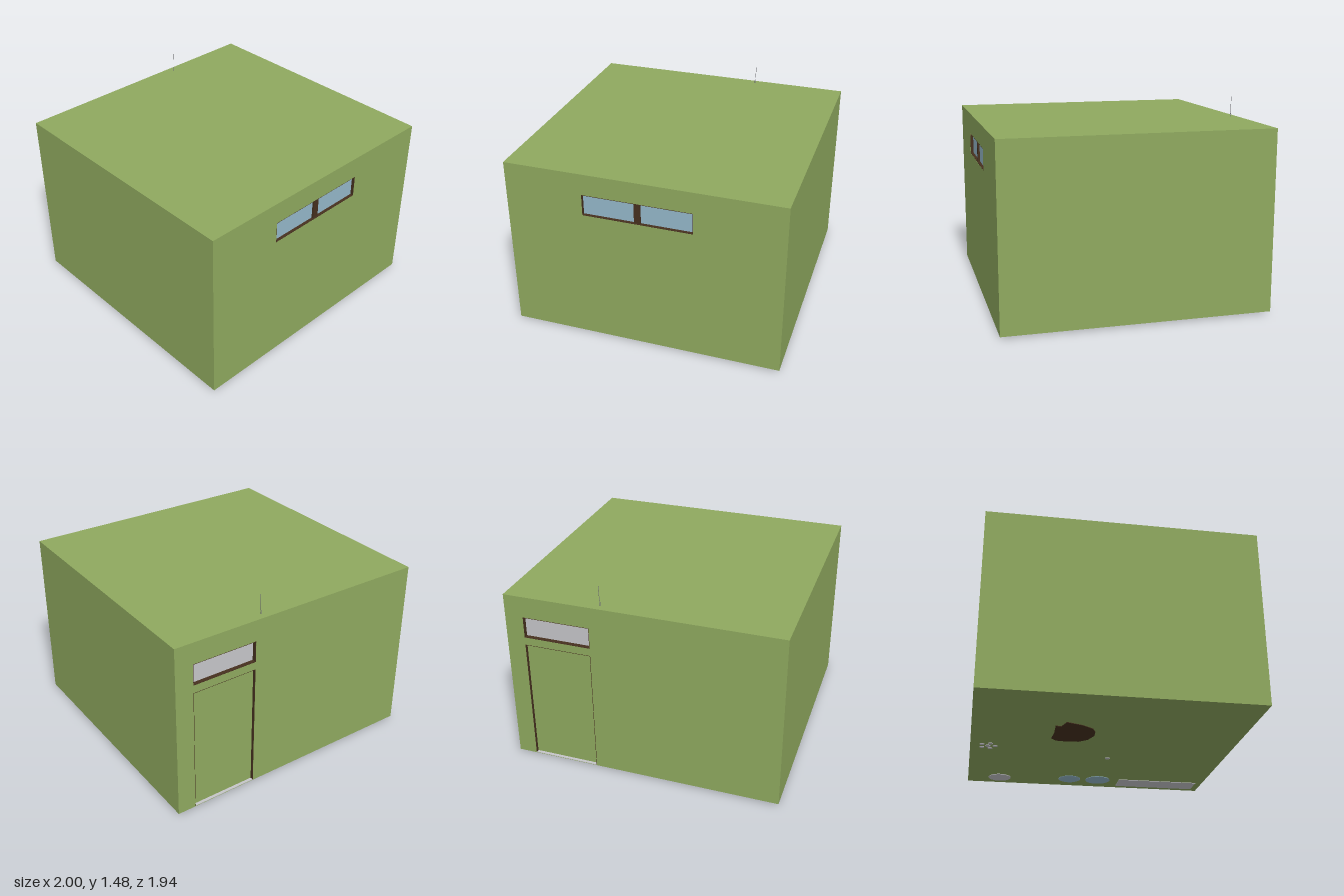
import * as THREE from 'three';

const material = (name, color) => {
  const m = new THREE.MeshStandardMaterial({ color });
  m.name = name;
  return m;
};

export function createModel() {
  const green = material('wall green', 0x8fa95f);
  const blue = material('glass blue', 0x95b8ca);
  const pale = material('pale grey', 0xc6c6c9);
  const brown = material('dark brown', 0x46301f);
  const grey = material('antenna grey', 0x77777c);

  const W = 2, D = 1.94, BASE = 0.012, TOP = 1.33, T = 0.05;
  const model = new THREE.Group();
  model.name = 'room';

  function add(name, geometry, mat, x = 0, y = 0, z = 0, parent = model) {
    const mesh = new THREE.Mesh(geometry, mat);
    mesh.name = name;
    mesh.position.set(x, y, z);
    parent.add(mesh);
    return mesh;
  }

  // Box given by its limits
  function block(name, mat, [x0, x1], [y0, y1], [z0, z1], parent = model) {
    return add(name, new THREE.BoxGeometry(x1 - x0, y1 - y0, z1 - z0), mat,
      (x0 + x1) / 2, (y0 + y1) / 2, (z0 + z1) / 2, parent);
  }

  const rectangle = (Type, [x0, x1], [y0, y1]) => new Type([
    [x0, y0], [x1, y0], [x1, y1], [x0, y1],
  ].map(([x, y]) => new THREE.Vector2(x, y)));

  // Wall slab with rectangular openings
  function wall(name, openings, z) {
    const shape = rectangle(THREE.Shape, [-W / 2, W / 2], [BASE, TOP]);
    openings.forEach(o => shape.holes.push(rectangle(THREE.Path, o.x, o.y)));
    add(name, new THREE.ExtrudeGeometry(shape, { depth: T, bevelEnabled: false }), green, 0, 0, z);
  }

  // Recessed pane with a thin brown lining; side is +1 for front, -1 for back
  function fitting(o, side) {
    const group = new THREE.Group();
    group.name = o.name;
    const face = side * (D / 2);
    const span = (a, b) => [face - side * a, face - side * b].sort((p, q) => p - q);
    const lining = span(0.001, T), t = 0.004;
    block('leftLining', brown, [o.x[1] - t, o.x[1]], o.y, lining, group);
    block('rightLining', brown, [o.x[0], o.x[0] + t], o.y, lining, group);
    block('topLining', brown, o.x, [o.y[1] - t, o.y[1]], lining, group);
    block('sill', o.sill, o.x, [o.y[0], o.y[0] + t], lining, group);
    block('panel', o.mat, o.x, o.y, span(o.depth, T), group);
    if (o.bar) block('mullion', brown, o.bar, o.y, span(0.008, T), group);
    model.add(group);
  }

  const frontOpenings = [
    { name: 'frontWindow', x: [-0.43, 0.365], y: [1.012, 1.172], depth: 0.022, mat: blue, sill: brown, bar: [-0.055, -0.01] },
  ];
  const backOpenings = [
    { name: 'backWindow', x: [0.37, 0.865], y: [1.012, 1.172], depth: 0.03, mat: pale, sill: brown },
    { name: 'door', x: [0.37, 0.865], y: [BASE + 0.002, 0.955], depth: 0.022, mat: green, sill: pale },
  ];

  // Shell
  wall('frontWall', frontOpenings, D / 2 - T);
  wall('backWall', backOpenings, -D / 2);
  const inner = [-D / 2 + T, D / 2 - T];
  block('rightWall', green, [-W / 2, -W / 2 + T], [BASE, TOP], inner);
  block('leftWall', green, [W / 2 - T, W / 2], [BASE, TOP], inner);
  block('roof', green, [-W / 2 + T, W / 2 - T], [TOP - T, TOP], inner);
  block('floor', green, [-W / 2 + T, W / 2 - T], [BASE, BASE + 0.03], inner);
  frontOpenings.forEach(o => fitting(o, 1));
  backOpenings.forEach(o => fitting(o, -1));

  // Antenna
  add('antennaBase', new THREE.CylinderGeometry(0.003, 0.003, 0.03, 8), grey, 0.298, TOP + 0.015, -0.92);
  const rod = add('antennaRod', new THREE.CylinderGeometry(0.0015, 0.0015, 0.15, 6), grey, 0.302, TOP + 0.075, -0.92);
  rod.rotation.z = -0.04;

  // Flat discs and plates just beneath the floor
  const plateY = BASE - 0.002;
  const disc = (name, mat, r, x, z) =>
    add(name, new THREE.CylinderGeometry(r, r, 0.006, 24), mat, x, plateY + 0.001, z);
  disc('paleDisc', pale, 0.09, 0.86, -0.715);
  disc('blueDisc', blue, 0.1, 0.81, 0.09);
  disc('smallFoot', pale, 0.02, 0.24, 0.08);
  block('palePlate', pale, [0.77, 0.945], [plateY - 0.002, plateY + 0.004], [0.265, 0.915]);
  for (let i = 0; i < 5; i++) {
    const a = Math.PI / 2 + i * Math.PI * 2 / 5;
    disc('casterFoot', pale, 0.018, 0.088 + 0.054 * Math.cos(a), -0.84 + 0.054 * Math.sin(a));
  }
  disc('casterHub', pale, 0.02, 0.088, -0.84);

  // Shallow bowl dipping through the floor
  const bowl = [[0, 0], [0.05, 0.001], [0.075, 0.004], [0.088, 0.009], [0.09, 0.014], [0, 0.014]]
    .map(([r, y]) => new THREE.Vector2(r, y));
  add('bowl', new THREE.LatheGeometry(bowl, 28), blue, 0.818, 0, -0.143);

  // Irregular dark rug
  const outline = [
    [-0.11, -0.19], [-0.1, -0.28], [-0.11, -0.36], [-0.15, -0.395], [-0.25, -0.385], [-0.41, -0.39],
    [-0.4, -0.35], [-0.49, -0.32], [-0.45, -0.21], [-0.39, -0.125], [-0.33, -0.1], [-0.25, -0.095], [-0.16, -0.13],
  ].map(([x, z]) => new THREE.Vector2(x, -z));
  const rug = add('rug', new THREE.ExtrudeGeometry(new THREE.Shape(outline), { depth: 0.005, bevelEnabled: false }),
    brown, 0, plateY - 0.002, 0);
  rug.rotation.x = -Math.PI / 2;

  return model;
}
